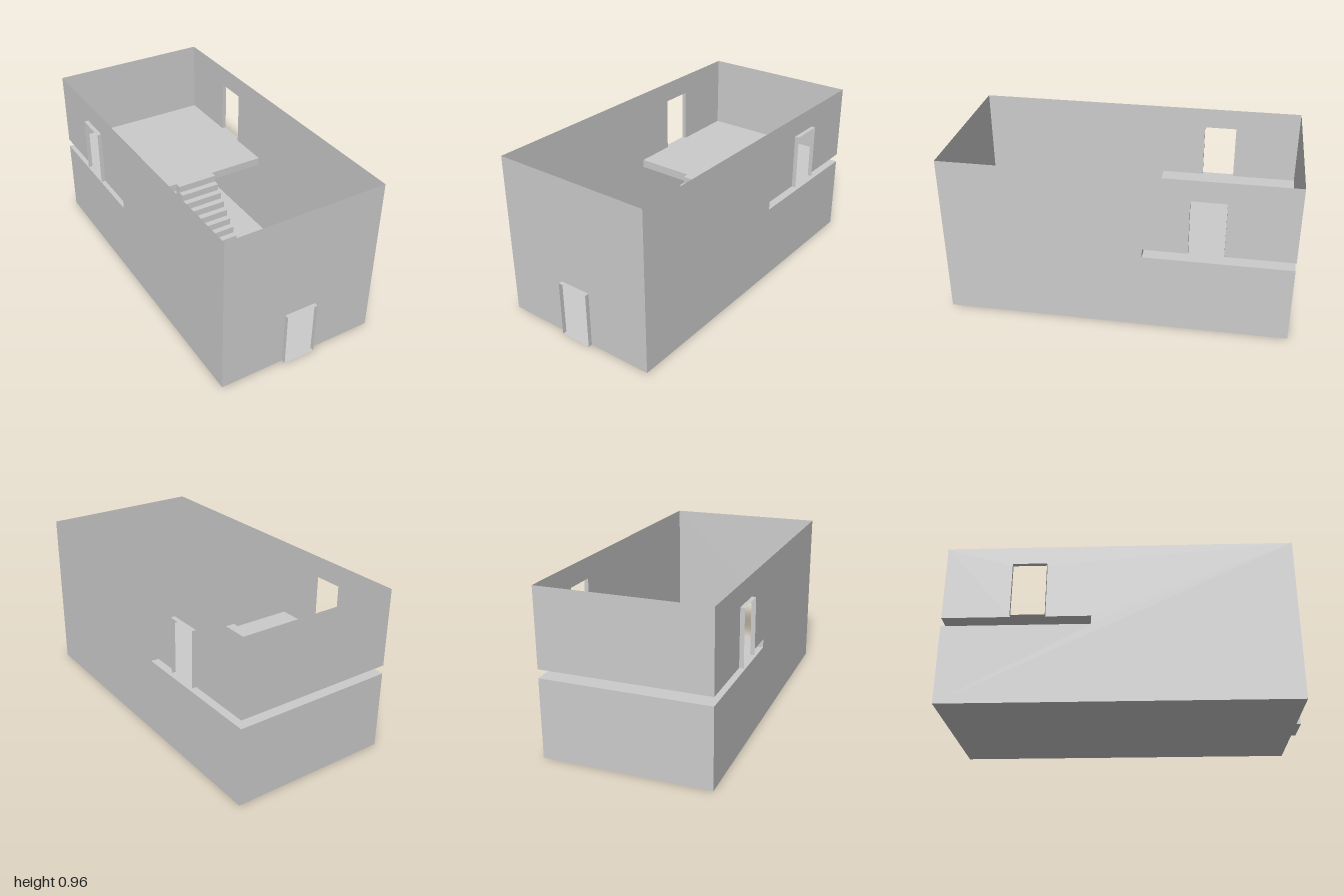
import * as THREE from 'three';

const W = 0.48, H = 0.96, BACK = -1, FRONT = 0.975;
const SLAB_LOW = 0.46, SLAB_TOP = 0.51, SLAB_EDGE = -0.165;
const STAIR_L = -0.122, STAIR_R = 0.13;

export function createModel() {
  const group = new THREE.Group();
  const material = new THREE.MeshStandardMaterial({ color: 0xcccccc, side: THREE.DoubleSide, flatShading: true });

  const add = (name, geometry) => {
    const mesh = new THREE.Mesh(geometry, material);
    mesh.name = name;
    group.add(mesh);
    return mesh;
  };
  const outline = (points) => new THREE.Shape(points.map(([a, b]) => new THREE.Vector2(a, b)));
  const sheet = (points) => new THREE.ShapeGeometry(outline(points));
  const rect = (a0, b0, a1, b1) => sheet([[a0, b0], [a1, b0], [a1, b1], [a0, b1]]);
  // Sheets facing each axis: (x, y) at z, (z, y) at x, (x, z) at y
  const atZ = (g, z) => g.translate(0, 0, z);
  const atX = (g, x) => g.rotateY(-Math.PI / 2).translate(x, 0, 0);
  const atY = (g, y) => g.rotateX(Math.PI / 2).translate(0, y, 0);

  // Door surround: a thin open-ended sleeve, facing +z, base at its origin
  const addSleeve = (name, width, height, depth) => {
    const sleeve = new THREE.Group();
    sleeve.name = name;
    const h = width / 2;
    const parts = [
      atX(rect(0, 0, depth, height), -h), atX(rect(0, 0, depth, height), h),
      atY(rect(-h, 0, h, depth), 0), atY(rect(-h, 0, h, depth), height),
    ];
    ['leftJamb', 'rightJamb', 'sill', 'lintel'].forEach((part, i) => {
      const mesh = new THREE.Mesh(parts[i], material);
      mesh.name = part;
      sleeve.add(mesh);
    });
    group.add(sleeve);
    return sleeve;
  };

  // Ground floor
  add('groundFloor', atY(rect(-W, BACK, W, FRONT), 0));

  // Front wall with the entrance cut out
  const dl = -0.098, dr = 0.094, dh = 0.33;
  add('frontWall', atZ(sheet([
    [-W, 0], [dl, 0], [dl, dh], [dr, dh], [dr, 0], [W, 0], [W, H], [-W, H],
  ]), FRONT));
  addSleeve('entranceFrame', dr - dl, dh, 1 - FRONT).position.set((dl + dr) / 2, 0, FRONT);

  // Back wall, split by the open gap at slab height
  add('backWallLower', atZ(rect(-W, 0, W, SLAB_LOW), BACK));
  add('backWallUpper', atZ(rect(-W, SLAB_TOP, W, H), BACK));

  // Side walls with the slab gap and upper doorway
  const d0 = -0.615, d1 = -0.42, dTop = 0.837;
  for (const side of [-1, 1]) {
    add(side > 0 ? 'leftWall' : 'rightWall', atX(sheet([
      [BACK, 0], [FRONT, 0], [FRONT, H], [BACK, H], [BACK, SLAB_TOP],
      [d0, SLAB_TOP], [d0, dTop], [d1, dTop], [d1, SLAB_TOP],
      [SLAB_EDGE, SLAB_TOP], [SLAB_EDGE, SLAB_LOW], [BACK, SLAB_LOW],
    ]), side * W));
    const frame = addSleeve(side > 0 ? 'leftDoorFrame' : 'rightDoorFrame', d1 - d0, dTop - SLAB_TOP, 0.025);
    frame.position.set(side * W, SLAB_TOP, (d0 + d1) / 2);
    frame.rotation.y = side * Math.PI / 2;
  }

  // Hollow upper floor: top, underside and front edge
  add('upperFloorTop', atY(rect(-W, BACK, W, SLAB_EDGE), SLAB_TOP));
  add('upperFloorUnderside', atY(rect(-W, BACK, W, SLAB_EDGE), SLAB_LOW));
  add('upperFloorEdgeRight', atZ(rect(-W, SLAB_LOW, STAIR_L, SLAB_TOP), SLAB_EDGE));
  add('upperFloorEdgeLeft', atZ(rect(STAIR_R, SLAB_LOW, W, SLAB_TOP), SLAB_EDGE));

  // Staircase up to the slab
  const steps = 12, start = 0.285, base = 0.0075;
  const run = (start - SLAB_EDGE) / steps, rise = (SLAB_TOP - base) / steps;
  const profile = [[SLAB_EDGE, 0], [start, 0]];
  for (let i = 0; i < steps; i++) {
    const y = base + rise * (i + 1);
    profile.push([start - run * i, y], [start - run * (i + 1), y]);
  }
  add('staircase', atX(new THREE.ExtrudeGeometry(outline(profile), {
    depth: STAIR_R - STAIR_L, bevelEnabled: false,
  }), STAIR_R));

  return group;
}
